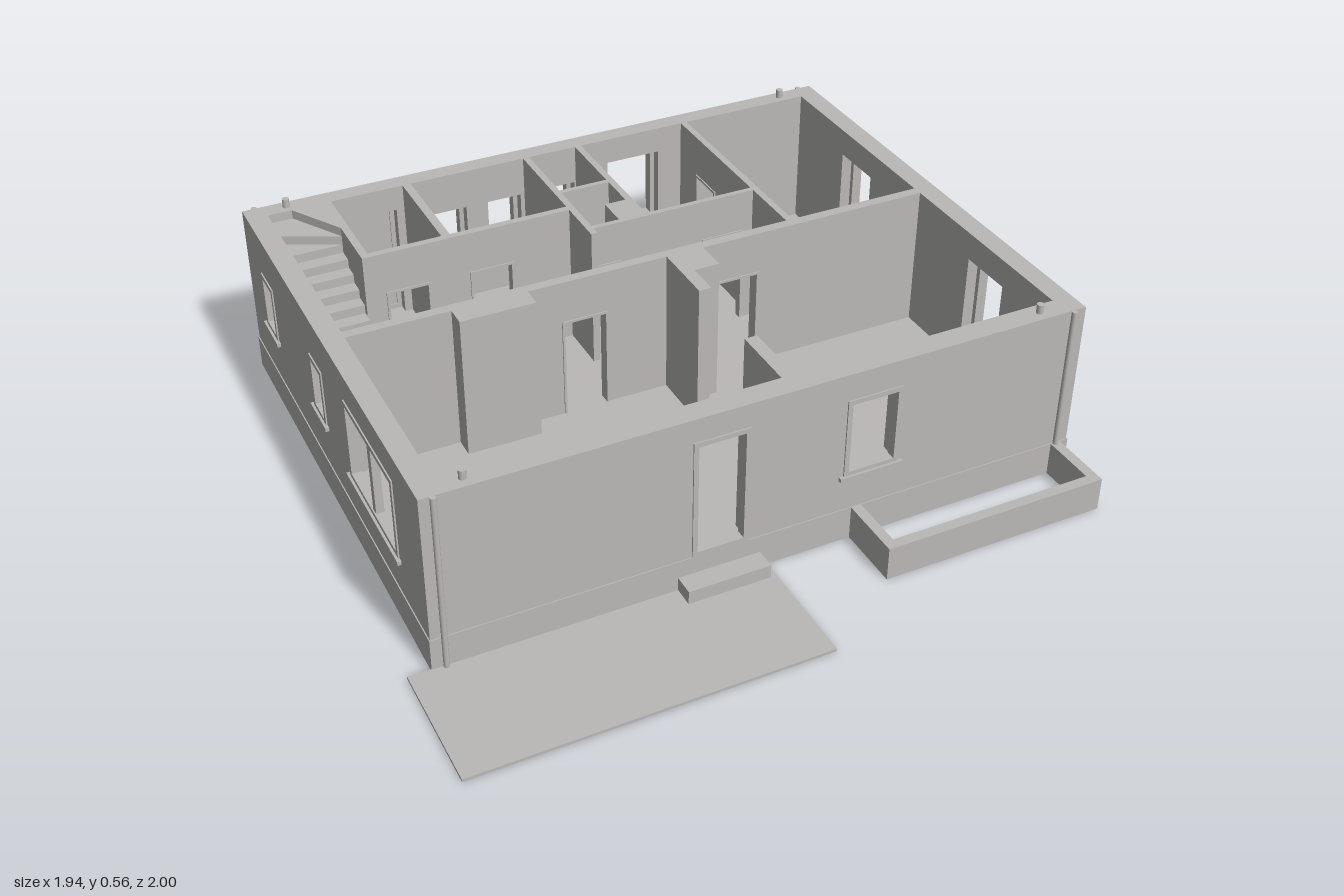
import * as THREE from 'three';

export function createModel() {
  const model = new THREE.Group();
  model.name = 'houseFloor';
  const plaster = new THREE.MeshStandardMaterial({ color: 0xbab9b7 });
  plaster.name = 'grey plaster';

  const FLOOR = 0.1, TOP = 0.53;
  const X0 = -0.905, X1 = 0.957, Z0 = -0.833, Z1 = 0.632; // outer faces
  const IX0 = -0.845, IX1 = 0.897, IZ0 = -0.778, IZ1 = 0.567; // inner faces

  function group(name, parent = model) {
    const g = new THREE.Group();
    g.name = name;
    parent.add(g);
    return g;
  }
  function add(name, geometry, parent) {
    const m = new THREE.Mesh(geometry, plaster);
    m.name = name;
    parent.add(m);
    return m;
  }
  // Box given by its limits
  function box(name, x0, x1, y0, y1, z0, z1, parent = model) {
    return add(name, new THREE.BoxGeometry(x1 - x0, y1 - y0, z1 - z0), parent)
      .position.set((x0 + x1) / 2, (y0 + y1) / 2, (z0 + z1) / 2);
  }
  // Box lying along an axis: a = along, t = through the wall
  function bar(name, axis, a0, a1, y0, y1, t0, t1, parent) {
    if (axis === 'x') box(name, a0, a1, y0, y1, t0, t1, parent);
    else box(name, t0, t1, y0, y1, a0, a1, parent);
  }
  // Frame bars lining an opening
  function frame(axis, [a, b, lo, hi], t0, t1, w, parent, threshold = true) {
    bar('frameSide', axis, a, a + w, lo, hi, t0, t1, parent);
    bar('frameSide', axis, b - w, b, lo, hi, t0, t1, parent);
    bar('frameHead', axis, a + w, b - w, hi - w, hi, t0, t1, parent);
    if (threshold) bar('frameFoot', axis, a + w, b - w, lo, lo + w, t0, t1, parent);
  }
  // Wall split around openings [a, b, low, high], sorted along the axis
  function wall(name, axis, a0, a1, t0, t1, openings = []) {
    const g = group(name);
    let at = a0;
    for (const [a, b, lo, hi] of openings) {
      bar('wallPiece', axis, at, a, FLOOR, TOP, t0, t1, g);
      if (lo > FLOOR) bar('wallBelow', axis, a, b, FLOOR, lo, t0, t1, g);
      bar('wallAbove', axis, a, b, hi, TOP, t0, t1, g);
      at = b;
    }
    if (at < a1) bar('wallPiece', axis, at, a1, FLOOR, TOP, t0, t1, g);
    return g;
  }
  // Outer wall: frames stand a little proud, windows get a sill
  function outerWall(name, axis, a0, a1, inner, outer, openings) {
    const s = Math.sign(outer - inner);
    const g = wall(name, axis, a0, a1, Math.min(inner, outer), Math.max(inner, outer), openings);
    for (const o of openings) {
      const f0 = outer - s * 0.026, f1 = outer + s * 0.004;
      frame(axis, o, Math.min(f0, f1), Math.max(f0, f1), 0.014, g);
      if (o[2] > FLOOR) {
        const p = outer + s * 0.011;
        bar('windowSill', axis, o[0] - 0.013, o[1] + 0.013, o[2] - 0.01, o[2] + 0.002,
          Math.min(outer, p), Math.max(outer, p), g);
      }
    }
    return g;
  }
  // Inner wall: doorways [a, b] with thin casings
  function innerWall(name, axis, a0, a1, t0, t1, doors = []) {
    const openings = doors.map(([a, b]) => [a, b, FLOOR, 0.405]);
    const g = wall(name, axis, a0, a1, t0, t1, openings);
    for (const o of openings) frame(axis, o, t0 - 0.004, t1 + 0.004, 0.007, g, false);
  }

  // Foundation slab, slightly proud of the walls
  box('foundation', X0 - 0.003, X1 + 0.003, 0, FLOOR, Z0 - 0.003, Z1 + 0.003);

  // Outer walls
  outerWall('frontWall', 'x', X0, X1, IZ1, Z1, [[-0.2, -0.04, FLOOR, 0.46], [0.237, 0.4, 0.21, 0.45]]);
  const back = outerWall('backWall', 'x', X0, X1, IZ0, Z0, [
    [-0.645, -0.465, FLOOR, 0.455], [-0.357, -0.248, 0.24, 0.41],
    [-0.183, -0.073, 0.24, 0.41], [-0.005, 0.105, 0.24, 0.41], [0.217, 0.39, 0.21, 0.45]]);
  box('backDoor', -0.631, -0.479, FLOOR + 0.014, 0.441, Z0 + 0.012, Z0 + 0.022, back);
  const plusWall = outerWall('leftWall', 'z', IZ0, IZ1, IX1, X1,
    [[-0.51, -0.345, 0.21, 0.45], [0.185, 0.35, 0.21, 0.45]]);
  box('transom', X1 - 0.022, X1, 0.25, 0.265, -0.496, -0.359, plusWall);
  const minusWall = outerWall('rightWall', 'z', IZ0, IZ1, IX0, X0,
    [[-0.68, -0.572, 0.24, 0.41], [-0.23, -0.125, 0.24, 0.41], [0.07, 0.44, 0.21, 0.45]]);
  box('mullion', X0, X0 + 0.022, 0.224, 0.436, 0.244, 0.268, minusWall);

  // Inner walls
  innerWall('middleWall', 'x', IX0, IX1, -0.11, -0.08, [[-0.24, -0.103], [0.23, 0.368]]);
  innerWall('stairWall', 'z', IZ0, -0.434, -0.68, -0.658);
  innerWall('hallWall', 'x', -0.658, -0.06, -0.455, -0.434, [[-0.62, -0.49], [-0.37, -0.237]]);
  innerWall('vestibuleWall', 'z', IZ0, -0.455, -0.441, -0.416);
  innerWall('bathWall', 'z', IZ0, -0.28, -0.06, -0.04);
  innerWall('bathDivider', 'x', -0.04, 0.11, -0.55, -0.534);
  innerWall('bedroomWall', 'z', IZ0, -0.323, 0.11, 0.13, [[-0.74, -0.62]]);
  innerWall('bedroomHallWall', 'x', -0.04, 0.469, -0.323, -0.307, [[-0.035, 0.043], [0.305, 0.44]]);
  innerWall('eastRoomWall', 'z', IZ0, -0.11, 0.469, 0.489, [[-0.665, -0.54]]);
  innerWall('livingWallBack', 'z', -0.08, 0.116, 0.077, 0.114);
  innerWall('livingWallFront', 'z', 0.372, IZ1, 0.077, 0.114);

  // Chimney, thickened wall and bathroom shaft
  box('chimney', 0.114, 0.19, FLOOR, TOP, -0.08, 0.016);
  box('wallBreast', -0.553, -0.336, FLOOR, TOP, -0.08, -0.02);
  box('shaft', 0.045, 0.11, FLOOR, TOP, -0.418, -0.323);

  // Staircase: lower winders, straight flight, upper winders as [x, z] outlines
  const sx0 = IX0, sx1 = -0.68, zLow = -0.286, zHigh = -0.62;
  const low = [sx1, zLow], high = [sx1, zHigh];
  const treads = [
    [low, [sx1, -0.11], [-0.735, -0.11]],
    [low, [-0.735, -0.11], [-0.79, -0.11]],
    [low, [-0.79, -0.11], [sx0, -0.11]],
    [low, [sx0, -0.11], [sx0, -0.215]],
    [low, [sx0, -0.215], [sx0, zLow]],
  ];
  for (let i = 0; i < 8; i++) {
    const a = zLow + (zHigh - zLow) * i / 8, b = zLow + (zHigh - zLow) * (i + 1) / 8;
    treads.push([[sx0, a], [sx1, a], [sx1, b], [sx0, b]]);
  }
  treads.push(
    [high, [sx0, zHigh], [sx0, -0.7]],
    [high, [sx0, -0.7], [sx0, IZ0], [-0.775, IZ0]],
    [high, [-0.775, IZ0], [sx1, IZ0]]);
  const stairs = group('stairs');
  const rise = (TOP - FLOOR) / treads.length;
  treads.forEach((pts, i) => {
    const shape = new THREE.Shape(pts.map(([x, z]) => new THREE.Vector2(x, -z)));
    const top = FLOOR + rise * (i + 1);
    const depth = Math.min(0.045, top - FLOOR);
    const geo = new THREE.ExtrudeGeometry(shape, { depth, bevelEnabled: false });
    geo.rotateX(-Math.PI / 2);
    add('tread', geo, stairs).position.y = top - depth;
  });

  // Rain pipes at the corners and short stubs on the wall tops
  function pipe(name, x, z, r, y0, y1) {
    add(name, new THREE.CylinderGeometry(r, r, y1 - y0, 16), model).position.set(x, (y0 + y1) / 2, z);
  }
  for (const x of [-0.87, 0.917]) for (const z of [Z0 - 0.004, Z1 + 0.006]) pipe('rainPipe', x, z, 0.008, 0, TOP);
  for (const x of [-0.783, 0.832]) for (const z of [-0.805, 0.6]) pipe('wallStub', x, z, 0.01, TOP, 0.556);

  // Terrace with a door step
  box('terrace', -0.97, 0.015, 0, 0.008, Z1, 1);
  box('frontStep', -0.24, -0.003, 0, 0.048, Z1, 0.695);

  // Open planter
  box('planterSide', 0.267, 0.297, 0, 0.1, Z1, 0.825);
  box('planterSide', 0.904, 0.934, 0, 0.1, Z1, 0.825);
  box('planterFront', 0.297, 0.904, 0, 0.1, 0.795, 0.825);

  // Back porch with steps going down sideways
  box('porch', -0.697, -0.436, 0, 0.086, -1, Z0);
  for (let i = 0; i < 3; i++) {
    const x = -0.436 + i * 0.046;
    box('porchStep', x, x + 0.046, 0, 0.0645 - i * 0.0215, -1, Z0);
  }
  return model;
}
